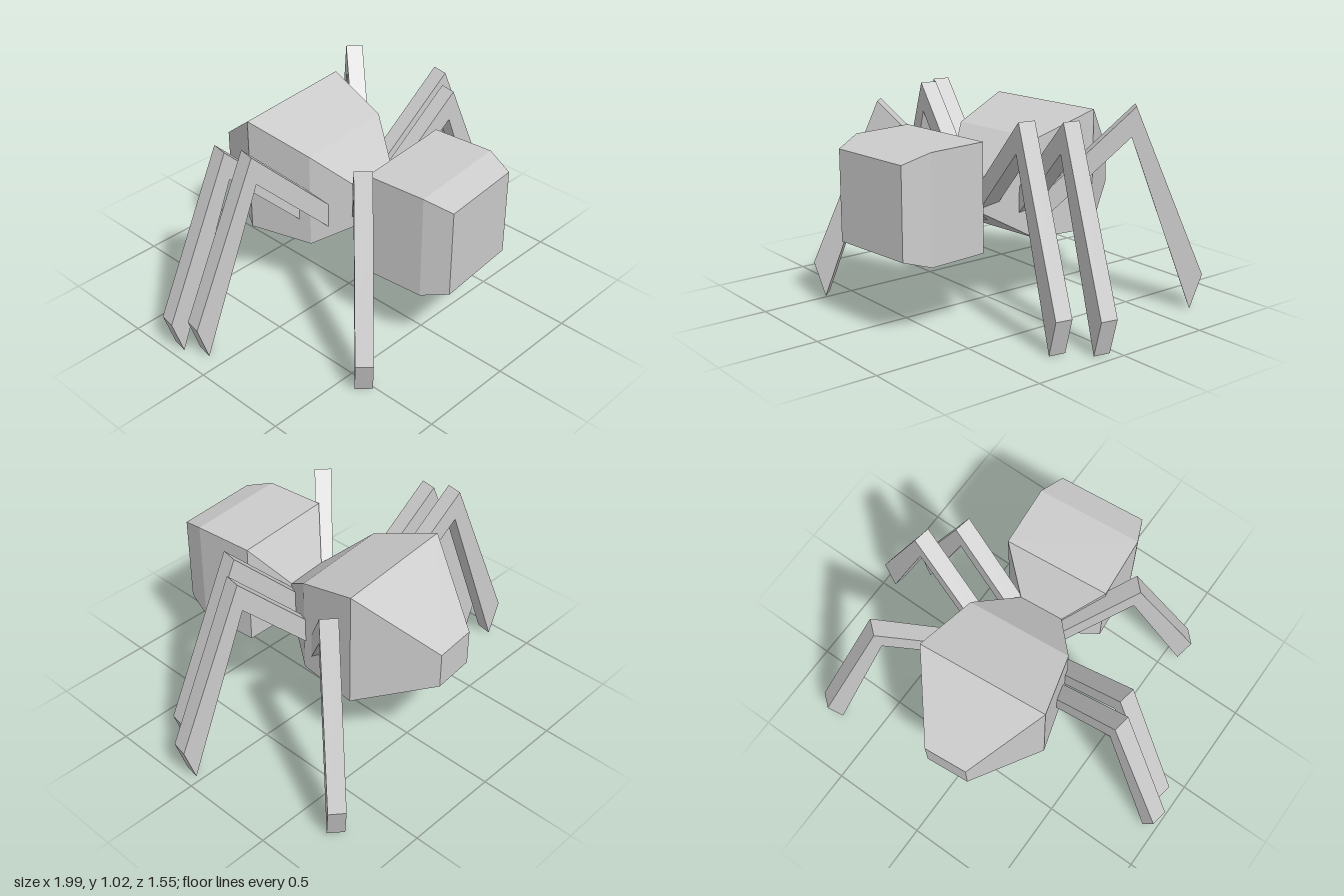
import * as THREE from 'three';

const grey = new THREE.MeshStandardMaterial({ color: 0xcccccc, flatShading: true });

// Lofts rectangular sections [z, width, bottom, top], ordered back to front.
function boxLoft(sections) {
  const pos = [], idx = [];
  for (const [z, w, b, t] of sections) {
    const h = w / 2;
    pos.push(-h, b, z, h, b, z, h, t, z, -h, t, z);
  }
  const quad = (a, b, c, d) => idx.push(a, b, c, a, c, d);
  const last = (sections.length - 1) * 4;
  for (let i = 0; i < last; i += 4) {
    for (let j = 0; j < 4; j++) {
      const k = (j + 1) % 4;
      quad(i + j, i + k, i + 4 + k, i + 4 + j);
    }
  }
  quad(3, 2, 1, 0);
  quad(last, last + 1, last + 2, last + 3);
  const g = new THREE.BufferGeometry();
  g.setAttribute('position', new THREE.Float32BufferAttribute(pos, 3));
  g.setIndex(idx);
  const flat = g.toNonIndexed();
  flat.computeVertexNormals();
  return flat;
}

function part(name, geometry) {
  const mesh = new THREE.Mesh(geometry, grey);
  mesh.name = name;
  return mesh;
}

// Bent leg: side profile with the knee ridge at x = 0 and the foot outward in +x.
function legGeometry() {
  const width = 0.086;
  const profile = [[0, 1.02], [-0.46, 0.565], [-0.46, 0.435], [-0.02, 0.87], [0.292, 0], [0.347, 0.18]];
  const shape = new THREE.Shape(profile.map(([x, y]) => new THREE.Vector2(x, y)));
  const g = new THREE.ExtrudeGeometry(shape, { depth: width, bevelEnabled: false });
  return g.translate(0, 0, -width / 2);
}

export function createModel() {
  const model = new THREE.Group();
  model.name = 'spider';

  // Body, turned slightly to one side
  const body = new THREE.Group();
  body.name = 'body';
  body.position.x = 0.028;
  body.rotation.y = 0.089;
  body.add(part('abdomen', boxLoft([
    [-0.738, 0.226, 0.5, 0.685],
    [-0.382, 0.673, 0.367, 0.975],
    [-0.05, 0.54, 0.367, 0.868],
    [0.159, 0.231, 0.5, 0.685],
  ])));
  body.add(part('head', boxLoft([
    [0.159, 0.231, 0.5, 0.685],
    [0.301, 0.542, 0.367, 0.905],
    [0.617, 0.542, 0.367, 0.905],
    [0.753, 0.452, 0.41, 0.86],
  ])));
  model.add(body);

  // Legs: knee x, knee z, then outward direction in degrees (0 = +x, 90 = -z)
  const geometry = legGeometry();
  const legs = {
    leftBackLeg: [0.545, -0.485, 49.8],
    leftMiddleLeg: [0.645, 0.022, -10],
    leftFrontLeg: [0.52, 0.18, -10],
    rightBackLeg: [-0.65, -0.197, 170],
    rightMiddleLeg: [-0.595, -0.075, 170],
    rightFrontLeg: [-0.335, 0.41, 225],
  };
  for (const [name, [x, z, angle]] of Object.entries(legs)) {
    const leg = part(name, geometry);
    leg.position.set(x, 0, z);
    leg.rotation.y = THREE.MathUtils.degToRad(angle);
    model.add(leg);
  }
  return model;
}
